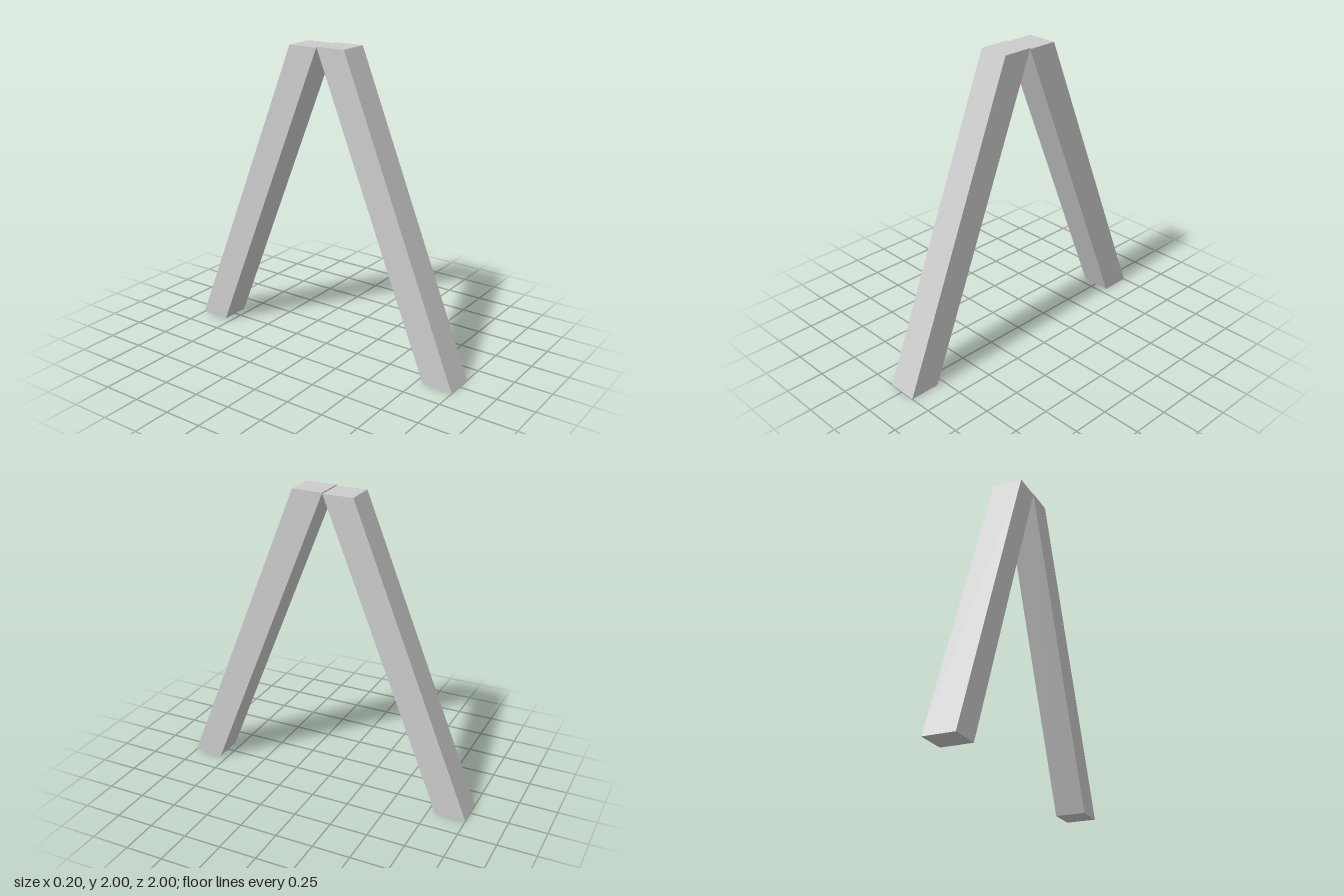
import * as THREE from 'three';

const WIDTH = 0.2;

// Slanted square beam with level ends: side outline in (z, y), extruded across x
function slantedLeg(name, footZ, topZ, height, material) {
  const h = WIDTH / 2;
  const outline = new THREE.Shape([
    new THREE.Vector2(-(footZ - h), 0),
    new THREE.Vector2(-(topZ - h), height),
    new THREE.Vector2(-(topZ + h), height),
    new THREE.Vector2(-(footZ + h), 0),
  ]);
  const geometry = new THREE.ExtrudeGeometry(outline, { depth: WIDTH, bevelEnabled: false });
  geometry.translate(0, 0, -h);
  geometry.rotateY(Math.PI / 2); // outline x becomes -z
  const leg = new THREE.Mesh(geometry, material);
  leg.name = name;
  return leg;
}

export function createModel() {
  const model = new THREE.Group();
  model.name = 'aFrame';
  const grey = new THREE.MeshStandardMaterial({ color: 0xcccccc, flatShading: true });

  // Two legs leaning together, the rear one a touch shorter
  model.add(slantedLeg('frontLeg', 0.9, 0.097, 2, grey));
  model.add(slantedLeg('backLeg', -0.9, -0.103, 1.993, grey));
  return model;
}
